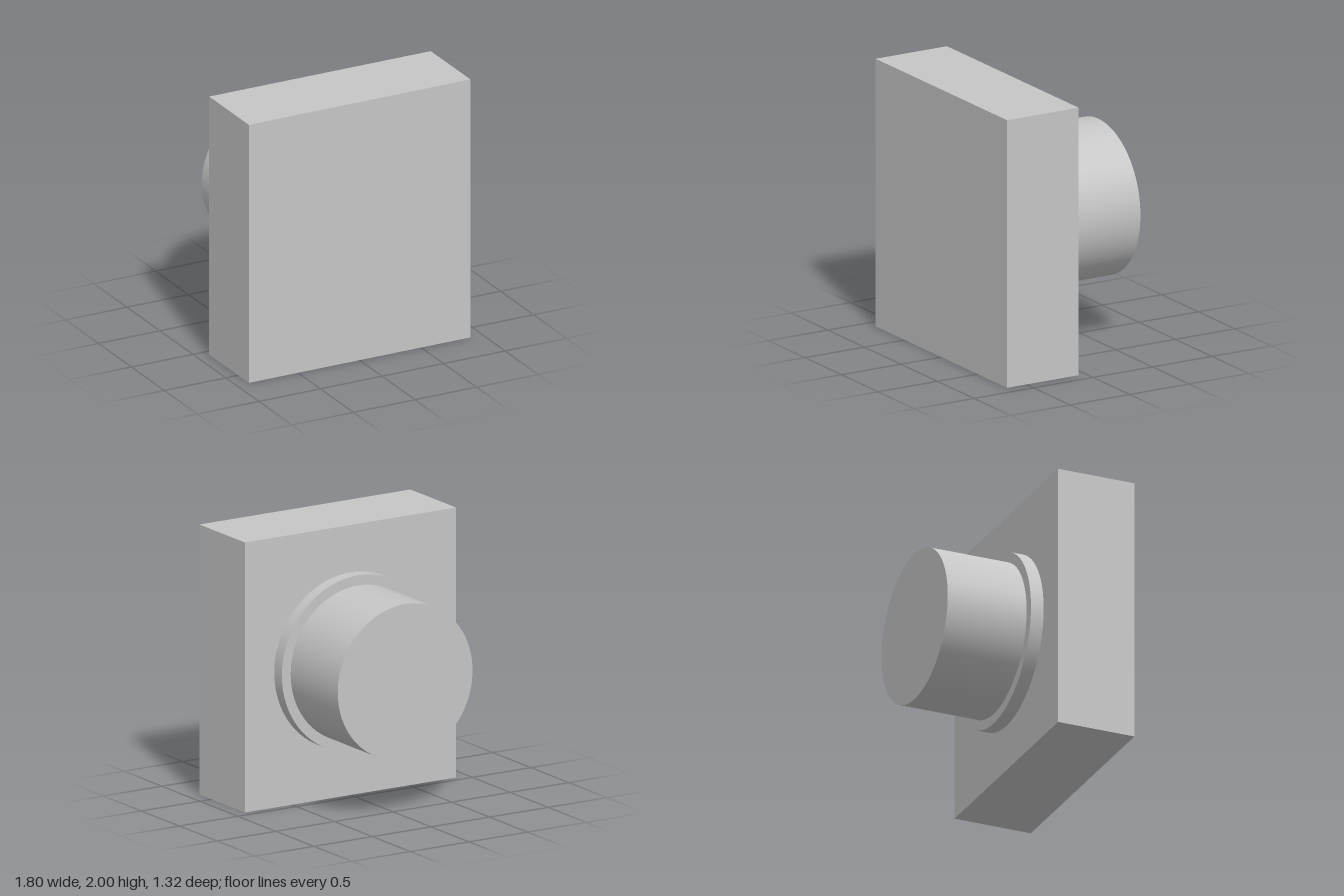
import * as THREE from 'three';

export function createModel() {
  const group = new THREE.Group();
  const grey = new THREE.MeshStandardMaterial({ color: 0xc6c6c6 });
  grey.name = 'light grey';

  // Adds a named part centred at mid height, at depth z
  const add = (name, geometry, z) => {
    const mesh = new THREE.Mesh(geometry, grey);
    mesh.name = name;
    mesh.position.set(0, 1, z);
    group.add(mesh);
  };

  // Round part lying along z, spanning z0 to z1
  const disc = (name, radius, z0, z1) => {
    const geometry = new THREE.CylinderGeometry(radius, radius, z1 - z0, 96);
    geometry.rotateX(Math.PI / 2);
    add(name, geometry, (z0 + z1) / 2);
  };

  add('frontPlate', new THREE.BoxGeometry(1.8, 2, 0.6), 0.36);
  disc('collar', 0.65, -0.04, 0.06);
  disc('barrel', 0.575, -0.66, -0.04);

  return group;
}
